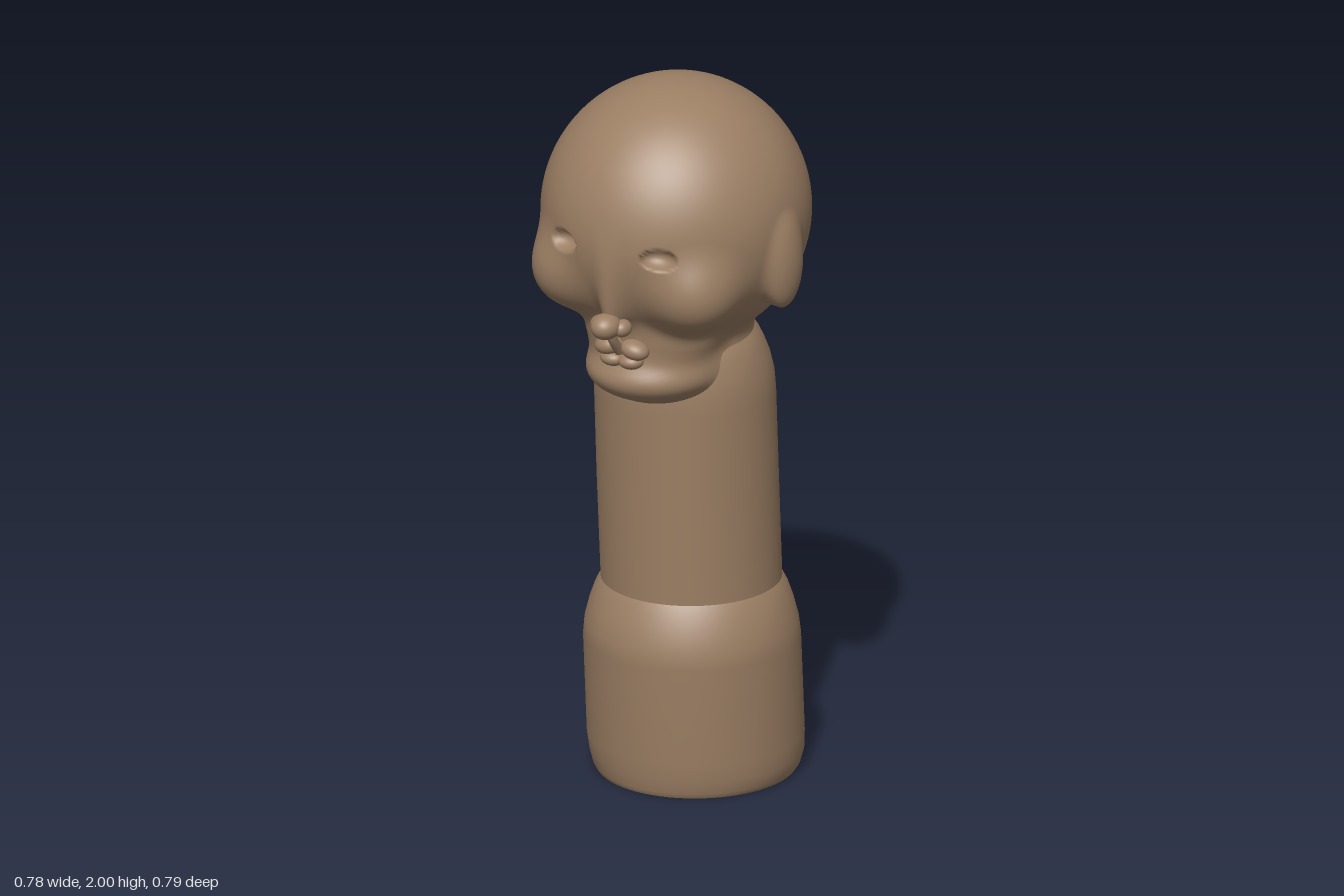
import * as THREE from 'three';

const clay = new THREE.MeshStandardMaterial({ color: 0x9c7f64 });
clay.name = 'brown clay';

// Signed distance to an ellipsoid (approximate)
function ellipsoid(p, c, r) {
  const x = (p.x - c[0]) / r[0], y = (p.y - c[1]) / r[1], z = (p.z - c[2]) / r[2];
  const k0 = Math.hypot(x, y, z);
  const k1 = Math.hypot(x / r[0], y / r[1], z / r[2]);
  return k1 < 1e-6 ? -Math.min(...r) : k0 * (k0 - 1) / k1;
}

// Smooth union and smooth cut
function blend(a, b, k) {
  const h = Math.max(k - Math.abs(a - b), 0) / k;
  return Math.min(a, b) - h * h * k / 4;
}
const carve = (a, b, k) => -blend(-a, b, k);

// Sculpted head: skull, jaw, cheeks, nose bridge, ears, eye sockets
function headField(p) {
  const q = new THREE.Vector3(Math.abs(p.x), p.y, p.z);
  let d = ellipsoid(q, [0, 1.63, -0.015], [0.363, 0.37, 0.375]);
  d = blend(d, ellipsoid(q, [0, 1.2, -0.035], [0.215, 0.2, 0.21]), 0.07);
  d = blend(d, ellipsoid(q, [0, 1.32, 0.12], [0.18, 0.12, 0.14]), 0.06);
  d = blend(d, ellipsoid(q, [0, 1.215, 0.11], [0.18, 0.085, 0.175]), 0.05);
  d = blend(d, ellipsoid(q, [0.19, 1.5, 0.205], [0.11, 0.11, 0.115]), 0.07);
  d = blend(d, ellipsoid(q, [0, 1.5, 0.315], [0.026, 0.13, 0.04]), 0.05);
  d = blend(d, ellipsoid(q, [0.345, 1.545, 0], [0.046, 0.13, 0.072]), 0.03);
  d = carve(d, ellipsoid(q, [0.155, 1.615, 0.335], [0.054, 0.03, 0.045]), 0.008);
  return d;
}

function buildHead() {
  const geo = new THREE.SphereGeometry(1, 256, 180);
  const pos = geo.attributes.position, nor = geo.attributes.normal;
  const centre = new THREE.Vector3(0, 1.48, 0);
  const dir = new THREE.Vector3(), p = new THREE.Vector3(), s = new THREE.Vector3();
  const e = 0.002;
  for (let i = 0; i < pos.count; i++) {
    dir.fromBufferAttribute(pos, i).normalize();
    // March inwards until the sculpted surface is met
    let t = 0.8;
    for (let n = 0; n < 60; n++) {
      p.copy(centre).addScaledVector(dir, t);
      const d = headField(p);
      if (d < 0.0003) break;
      t = Math.max(t - d * 0.75, 0.05);
    }
    pos.setXYZ(i, p.x, p.y, p.z);
    // Normal from the slope of the field
    const slope = ['x', 'y', 'z'].map((a) => {
      s.copy(p); s[a] += e;
      const hi = headField(s);
      s[a] -= 2 * e;
      return hi - headField(s);
    });
    s.set(...slope).normalize();
    nor.setXYZ(i, s.x, s.y, s.z);
  }
  return geo;
}

// Smooth loft through rings [y, centreX, centreZ, radiusX, radiusZ]
function loft(rings, sides = 72) {
  const curves = [1, 2, 3, 4].map((k) => rings.map((r) => r[k]));
  const verts = [], index = [];
  rings.forEach(([y], j) => {
    const [cx, cz, rx, rz] = curves.map((c) => c[j]);
    for (let i = 0; i < sides; i++) {
      const a = (i / sides) * Math.PI * 2;
      verts.push(cx + Math.sin(a) * rx, y, cz + Math.cos(a) * rz);
      if (j === rings.length - 1) continue;
      const n = (i + 1) % sides, b = j * sides;
      index.push(b + i, b + n, b + sides + n, b + i, b + sides + n, b + sides + i);
    }
  });
  const geo = new THREE.BufferGeometry();
  geo.setAttribute('position', new THREE.Float32BufferAttribute(verts, 3));
  geo.setIndex(index);
  geo.computeVertexNormals();
  return geo;
}

export function createModel() {
  const group = new THREE.Group();
  const add = (name, geo) => {
    const mesh = new THREE.Mesh(geo, clay);
    mesh.name = name;
    group.add(mesh);
    return mesh;
  };
  const blob = (name, c, r) => {
    const mesh = add(name, new THREE.SphereGeometry(1, 32, 24));
    mesh.position.set(...c);
    mesh.scale.set(...r);
    return mesh;
  };

  add('head', buildHead());

  // Leaning neck with rounded shoulder
  add('neck', loft([
    [0.5, 0.007, -0.083, 0.245, 0.246],
    [0.56, 0.007, -0.082, 0.245, 0.246],
    [0.85, 0.004, -0.068, 0.246, 0.246],
    [1.1, 0.003, -0.056, 0.246, 0.245],
    [1.15, 0.003, -0.052, 0.244, 0.243],
    [1.2, 0.002, -0.047, 0.236, 0.235],
    [1.24, 0, -0.044, 0.225, 0.222],
    [1.27, 0, -0.04, 0.213, 0.21],
    [1.3, 0, -0.04, 0.19, 0.19],
  ]));

  // Wider sleeve at the foot
  add('base', loft([
    [0, 0.012, -0.102, 0.27, 0.276],
    [0.015, 0.012, -0.102, 0.28, 0.284],
    [0.05, 0.011, -0.104, 0.29, 0.291],
    [0.1, 0.01, -0.1, 0.294, 0.295],
    [0.38, 0.01, -0.081, 0.294, 0.295],
    [0.43, 0.01, -0.079, 0.289, 0.29],
    [0.48, 0.009, -0.08, 0.276, 0.277],
    [0.52, 0.008, -0.082, 0.262, 0.262],
    [0.55, 0.007, -0.083, 0.246, 0.247],
    [0.56, 0.007, -0.083, 0.236, 0.237],
  ]));
  const foot = add('baseUnderside', new THREE.CircleGeometry(1, 72));
  foot.rotation.x = Math.PI / 2;
  foot.scale.set(0.27, 0.276, 1);
  foot.position.set(0.012, 0, -0.102);

  // Nose tip and the ridge down to the mouth
  blob('noseTip', [0, 1.405, 0.352], [0.04, 0.036, 0.046]);
  const ridge = new THREE.CatmullRomCurve3([
    new THREE.Vector3(0, 1.4, 0.33),
    new THREE.Vector3(0, 1.36, 0.318),
    new THREE.Vector3(0, 1.31, 0.28),
  ]);
  add('philtrum', new THREE.TubeGeometry(ridge, 12, 0.014, 12));

  // Nostrils and lips, mirrored
  for (const [side, x] of [['left', 1], ['right', -1]]) {
    blob(side + 'Nostril', [x * 0.036, 1.398, 0.325], [0.024, 0.024, 0.03]);
    blob(side + 'UpperLip', [x * 0.04, 1.318, 0.268], [0.042, 0.027, 0.034]).rotation.z = -x * 0.2;
    blob(side + 'LowerLip', [x * 0.028, 1.283, 0.268], [0.036, 0.022, 0.032]);
  }
  return group;
}
